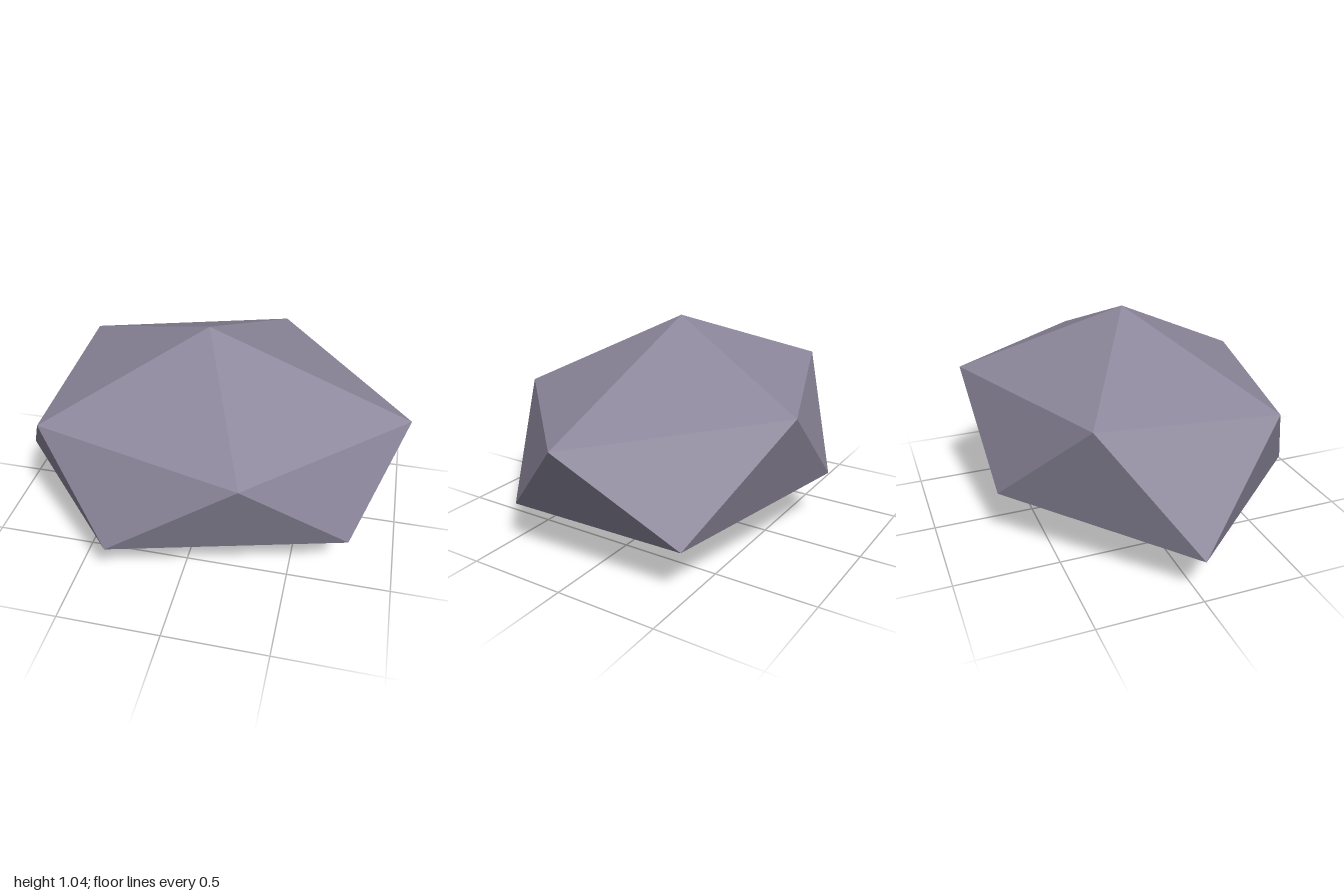
import * as THREE from 'three';

export function createModel() {
  const group = new THREE.Group();
  group.name = 'rock';

  const stone = new THREE.MeshStandardMaterial({ color: 0x8b869a });
  stone.name = 'greyStone';

  // Irregular squashed icosahedron: peak, two staggered rings of five, base point
  const peak = [0, 1.045, 0];
  const base = [-0.03, 0, 0];
  const upper = [
    [1, 0.655, 0.01], [0.29, 0.67, 0.73], [-0.72, 0.69, 0.485],
    [-0.715, 0.755, -0.4], [0.28, 0.73, -0.765],
  ];
  const lower = [
    [0.775, 0.22, 0.445], [-0.33, 0.235, 0.76], [-1, 0.205, 0],
    [-0.245, 0.275, -0.72], [0.785, 0.24, -0.495],
  ];

  // Separate corners per facet give crisp flat faces
  const positions = [];
  const facet = (...corners) => corners.forEach((c) => positions.push(...c));
  for (let i = 0; i < 5; i++) {
    const j = (i + 1) % 5;
    facet(peak, upper[j], upper[i]);
    facet(upper[i], upper[j], lower[i]);
    facet(upper[j], lower[j], lower[i]);
    facet(base, lower[i], lower[j]);
  }

  const geometry = new THREE.BufferGeometry();
  geometry.setAttribute('position', new THREE.Float32BufferAttribute(positions, 3));
  geometry.computeVertexNormals();

  const boulder = new THREE.Mesh(geometry, stone);
  boulder.name = 'boulder';
  group.add(boulder);
  return group;
}
